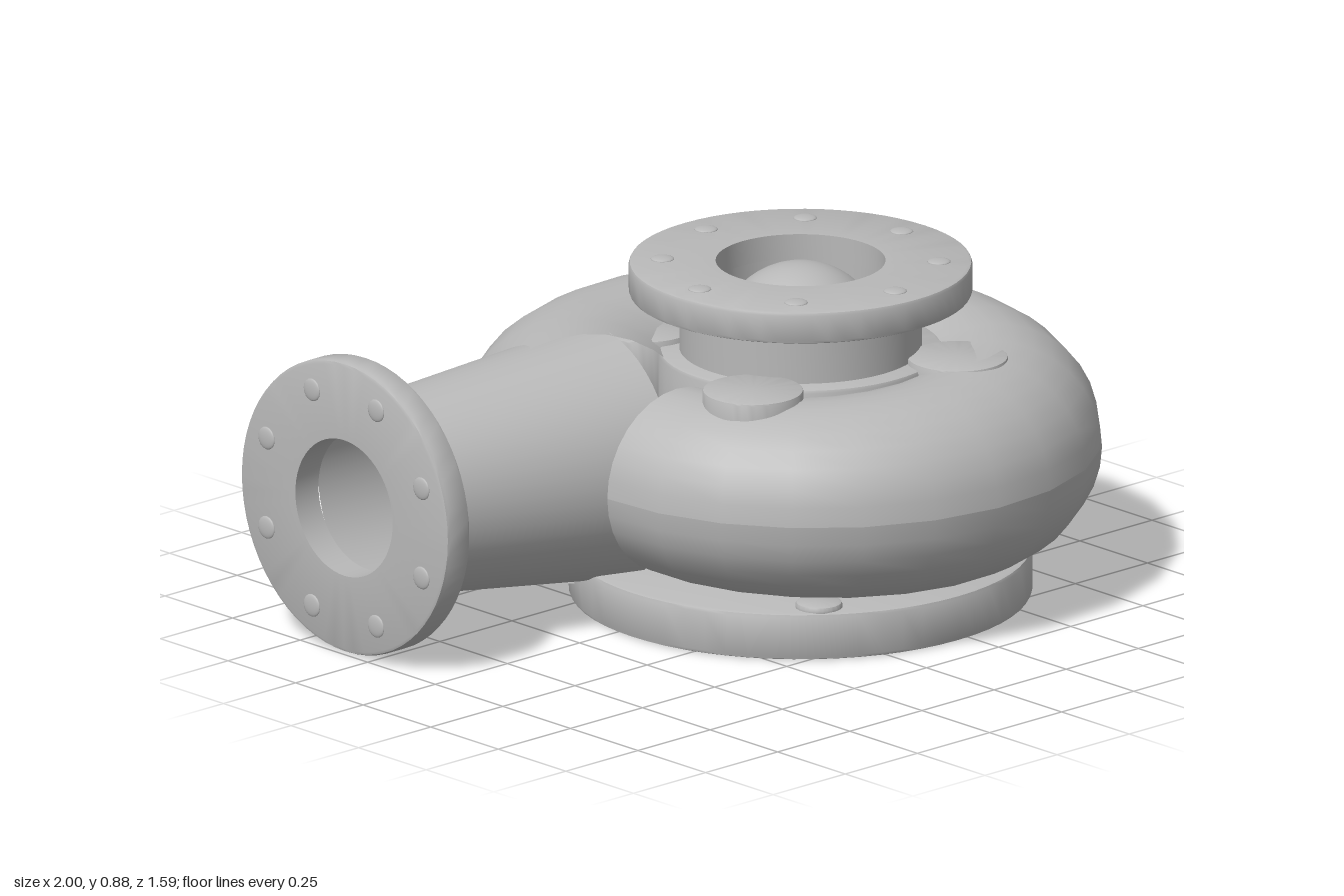
import * as THREE from 'three';
import { toCreasedNormals } from 'three/addons/utils/BufferGeometryUtils.js';

const castMetal = new THREE.MeshStandardMaterial({ color: 0xb8b8b8, side: THREE.DoubleSide });
castMetal.name = 'cast metal grey';

const AX = 0.21, AZ = 0.06, MID = 0.388; // pump axis and volute mid height

function add(parent, name, geometry, x = 0, y = 0, z = 0) {
  const mesh = new THREE.Mesh(geometry, castMetal);
  mesh.name = name;
  mesh.position.set(x, y, z);
  parent.add(mesh);
  return mesh;
}

const lathe = (pts, seg = 64) =>
  toCreasedNormals(new THREE.LatheGeometry(pts.map(([r, y]) => new THREE.Vector2(r, y)), seg), 0.5);

// Disc or ring with softly bevelled rims, standing on y = 0
function bevelDisc(radius, height, hole = 0, b = 0.01) {
  return lathe([[hole, 0], [radius - b, 0], [radius - b * 0.3, b * 0.3], [radius, b],
    [radius, height - b], [radius - b * 0.3, height - b * 0.3], [radius - b, height], [hole, height], [hole, 0]]);
}

// Flange with a ring of eight domed bolts on its outer face
function flange(name, radius, height, hole, boltCircle, phase) {
  const g = new THREE.Group();
  g.name = name;
  add(g, name + 'Ring', bevelDisc(radius, height, hole));
  const dome = new THREE.SphereGeometry(0.03, 16, 6, 0, Math.PI * 2, 0, Math.PI / 2).scale(1, 0.23, 1);
  for (let i = 0; i < 8; i++) {
    const a = phase + i * Math.PI / 4;
    add(g, name + 'Bolt', dome, boltCircle * Math.cos(a), height, boltCircle * Math.sin(a));
  }
  return g;
}

// Spiral casing: a round section that grows as it sweeps around the axis
function voluteGeometry(sweep = 330, steps = 22, sides = 32) {
  const pos = [], index = [], row = sides + 1;
  for (let i = 0; i <= steps; i++) {
    const s = sweep * i / steps, a = (180 - s) * Math.PI / 180;
    const r = 0.24 + 0.025 * s / 90, R = 0.43 + 0.037 * s / 90;
    for (let j = 0; j <= sides; j++) {
      const t = j / sides * Math.PI * 2, d = R + r * Math.cos(t);
      pos.push(AX + d * Math.cos(a), MID + r * Math.sin(t), AZ + d * Math.sin(a));
      if (i < steps && j < sides) {
        const p = i * row + j;
        index.push(p, p + 1, p + row, p + 1, p + row + 1, p + row);
      }
    }
  }
  const g = new THREE.BufferGeometry();
  g.setAttribute('position', new THREE.Float32BufferAttribute(pos, 3));
  g.setIndex(index);
  g.computeVertexNormals();
  return g;
}

export function createModel() {
  const model = new THREE.Group();
  model.name = 'pumpCasing';

  // Base plate with bolt heads mostly tucked under the casing
  add(model, 'basePlate', bevelDisc(0.587, 0.122), AX, 0, AZ);
  const boltHead = bevelDisc(0.06, 0.03);
  for (let i = 0; i < 4; i++) {
    const a = (38 + i * 90) * Math.PI / 180;
    add(model, 'baseBolt', boltHead, AX + 0.52 * Math.cos(a), 0.107, AZ + 0.52 * Math.sin(a));
  }

  // Volute and the flat wall closing its narrow start
  add(model, 'volute', voluteGeometry());
  add(model, 'voluteStartWall', new THREE.CircleGeometry(0.24, 32), AX - 0.43, MID, AZ).rotation.y = Math.PI;

  // Central hub and bosses set into the top of the casing
  add(model, 'hub', bevelDisc(0.36, 0.545), AX, 0.1, AZ);
  const boss = bevelDisc(0.128, 0.16, 0, 0.006);
  for (let i = 0; i < 4; i++) {
    const a = (60 + i * 90) * Math.PI / 180;
    add(model, 'boss', boss, AX + 0.415 * Math.cos(a), 0.5, AZ + 0.415 * Math.sin(a));
  }

  // Inlet neck, flange and the rounded nose inside it
  add(model, 'inletNeck', lathe([[0.307, 0.6], [0.307, 0.81], [0.215, 0.81], [0.215, 0.6]]), AX, 0, AZ);
  const inlet = flange('inletFlange', 0.435, 0.085, 0.215, 0.35, 0);
  inlet.position.set(AX, 0.79, AZ);
  model.add(inlet);
  add(model, 'inletNose', new THREE.SphereGeometry(0.214, 40, 16, 0, Math.PI * 2, 0, Math.PI / 2), AX, 0.652, AZ);

  // Tapered outlet pipe, narrowing toward its flange
  const from = new THREE.Vector3(-0.2, MID, -0.235), to = new THREE.Vector3(-0.893, MID, -0.34);
  const dir = to.clone().sub(from), length = dir.length();
  const pipe = add(model, 'outletPipe', new THREE.CylinderGeometry(0.25, 0.325, length, 48, 1, true));
  pipe.position.copy(from).add(to).multiplyScalar(0.5);
  pipe.quaternion.setFromUnitVectors(new THREE.Vector3(0, 1, 0), dir.normalize());
  add(pipe, 'outletPipeEnd', new THREE.CircleGeometry(0.325, 48), 0, -length / 2, 0).rotation.x = -Math.PI / 2;

  // Outlet flange facing -x
  const outlet = flange('outletFlange', 0.384, 0.08, 0.18, 0.31, Math.PI / 8);
  outlet.rotation.z = Math.PI / 2;
  outlet.position.set(-0.913, 0.386, -0.345);
  model.add(outlet);

  return model;
}
